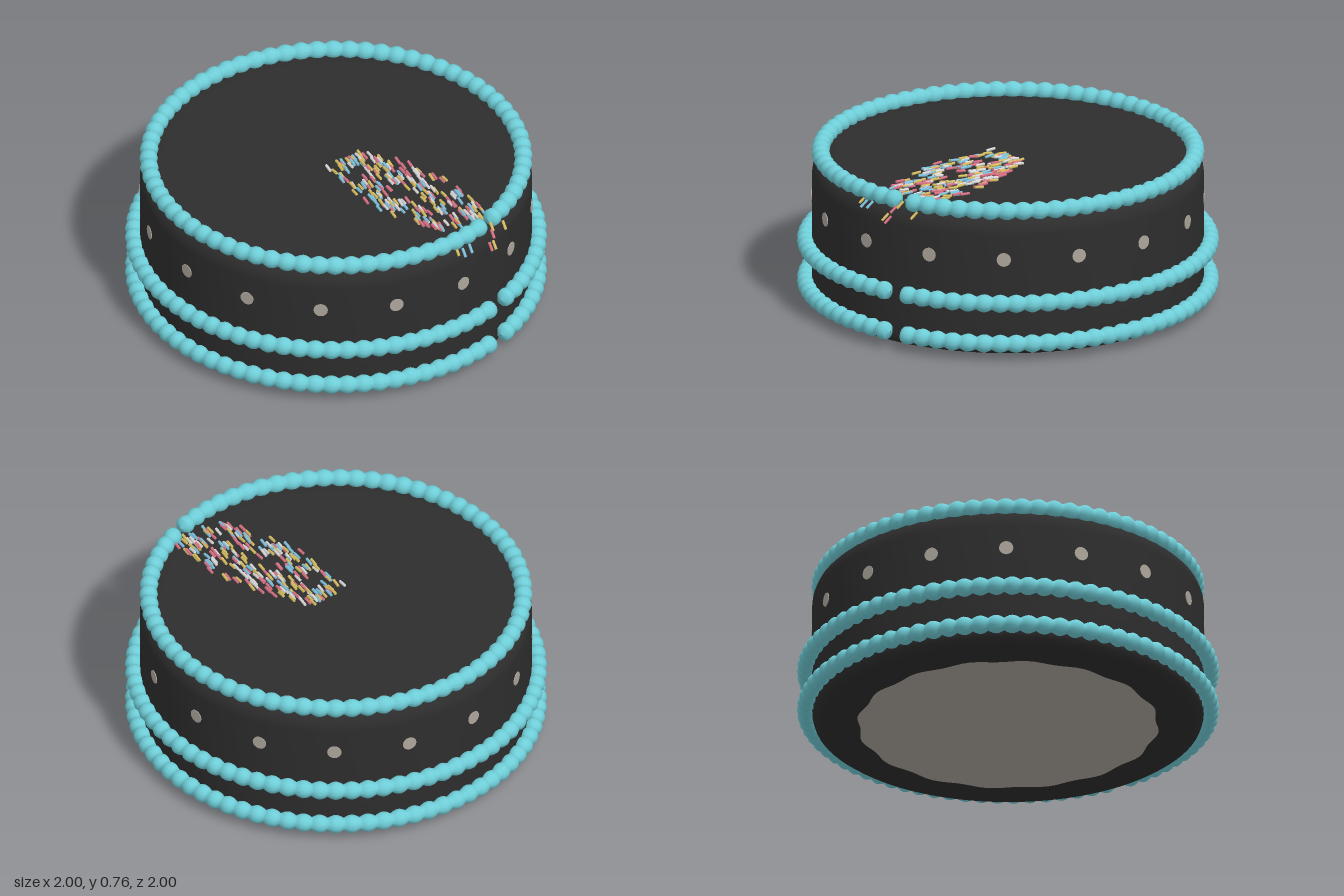
import * as THREE from 'three';
import { mergeGeometries, mergeVertices } from 'three/addons/utils/BufferGeometryUtils.js';

const mat = (name, color) => {
  const m = new THREE.MeshStandardMaterial({ color });
  m.name = name;
  return m;
};

function part(name, geometry, material) {
  const m = new THREE.Mesh(geometry, material);
  m.name = name;
  return m;
}

// Small seeded random number generator
function seeded(seed) {
  return () => {
    seed = (seed * 16807) % 2147483647;
    return seed / 2147483647;
  };
}

// Ring of piped beads with a small opening at the given angle from the front
const GAP_ANGLE = THREE.MathUtils.degToRad(27);
function beadRing(radius, bead, count, gap) {
  const arc = Math.PI * 2 - gap / radius;
  const g = new THREE.TorusGeometry(radius, bead, 12, count * 6, arc);
  const p = g.attributes.position;
  for (let i = 0; i < p.count; i++) {
    const x = p.getX(i), y = p.getY(i), d = Math.hypot(x, y);
    const step = i % (count * 6 + 1);
    const end = step === 0 || step === count * 6;
    const s = end ? 0.05 : 0.68 + 0.32 * Math.abs(Math.sin((step / 6) * Math.PI));
    const r = (radius + (d - radius) * s) / d;
    p.setXYZ(i, x * r, y * r, p.getZ(i) * s);
  }
  g.deleteAttribute('uv');
  g.deleteAttribute('normal');
  const smooth = mergeVertices(g, 1e-5);
  smooth.computeVertexNormals();
  smooth.rotateX(-Math.PI / 2);
  smooth.rotateY(GAP_ANGLE - Math.PI / 2 + gap / radius / 2);
  return smooth;
}

export function createModel() {
  const cake = new THREE.Group();
  cake.name = 'cake';
  const icing = mat('dark icing', 0x2d2d2d);
  const blue = mat('turquoise piping', 0x6fced8);
  const stone = mat('warm grey', 0xaca59b);
  const sprinkleMats = [
    mat('pink sprinkle', 0xdb7286), mat('yellow sprinkle', 0xd8bf62),
    mat('pale blue sprinkle', 0x7fc4e0), mat('white sprinkle', 0xdcdcdc),
  ];

  // Cake body: rounded top and bottom edges
  const profile = [[0, 0.004], [0.86, 0.004], [0.893, 0.012], [0.918, 0.03], [0.927, 0.06],
    [0.927, 0.2], [0.927, 0.4], [0.927, 0.61], [0.923, 0.64], [0.91, 0.67], [0.89, 0.69],
    [0.86, 0.7], [0.8, 0.7], [0, 0.7]];
  cake.add(part('body', new THREE.LatheGeometry(profile.map(([x, y]) => new THREE.Vector2(x, y)), 96), icing));

  // Base board with a softly wavy edge
  const wavy = [];
  for (let i = 0; i < 128; i++) {
    const a = (i / 128) * Math.PI * 2, r = 0.708 + 0.009 * Math.cos(a * 16);
    wavy.push(new THREE.Vector2(Math.cos(a) * r, Math.sin(a) * r));
  }
  const board = new THREE.ShapeGeometry(new THREE.Shape(wavy));
  board.rotateX(Math.PI / 2);
  cake.add(part('baseBoard', board, stone));

  // Piped bead rings
  [['lowerPiping', 0.955, 0.08, 78, 0.06], ['middlePiping', 0.955, 0.28, 78, 0.06],
    ['topPiping', 0.886, 0.72, 72, 0.035]].forEach(([name, r, y, n, gap]) => {
    const ring = part(name, beadRing(r, 0.044, n, gap), blue);
    ring.position.y = y;
    cake.add(ring);
  });

  // Sixteen flat dots around the side
  const dots = new THREE.Group();
  dots.name = 'sideDots';
  const dotGeometry = new THREE.CylinderGeometry(0.034, 0.034, 0.006, 16).rotateX(Math.PI / 2);
  for (let i = 0; i < 16; i++) {
    const a = THREE.MathUtils.degToRad(-8 + i * 22.5);
    const dot = part('sideDot', dotGeometry, stone);
    dot.position.set(Math.sin(a) * 0.927, 0.49, Math.cos(a) * 0.927);
    dot.rotation.y = a;
    dots.add(dot);
  }
  cake.add(dots);

  // Sprinkles spread in a slanted patch towards the opening
  const random = seeded(4217);
  const piles = sprinkleMats.map(() => []);
  const addSprinkle = (i, x, y, z, tilt) => {
    const g = new THREE.CylinderGeometry(0.007, 0.007, 0.046, 6);
    g.rotateX(Math.PI / 2 + tilt);
    g.translate(x, y, z);
    piles[i].push(g);
  };
  for (let i = 0; i < 230; i++) {
    const t = random();
    const half = 0.19 * Math.pow(Math.sin(Math.PI * (0.12 + 0.74 * t)), 0.6);
    const x = 0.02 + 0.33 * t + (random() * 2 - 1) * half;
    const z = 0.02 + 0.73 * t + (x - 0.02 - 0.33 * t) * -0.25;
    addSprinkle([0, 0, 0, 1, 1, 1, 2, 2, 3, 3][Math.floor(random() * 10)],
      x, 0.704 + random() * 0.012, z, (random() - 0.5) * 0.3);
  }
  // A few sprinkles tumbling over the edge
  [[0, 0.39, 0.635, 0.85], [1, 0.4, 0.655, 0.87], [0, 0.41, 0.69, 0.83], [1, 0.42, 0.71, 0.8],
    [2, 0.23, 0.675, 0.89], [1, 0.2, 0.685, 0.88], [2, 0.27, 0.68, 0.88], [1, 0.5, 0.675, 0.77],
  ].forEach(([i, x, y, z]) => addSprinkle(i, x, y, z + 0.02, 0.7));
  const sprinkles = new THREE.Group();
  sprinkles.name = 'sprinkles';
  piles.forEach((pile, i) =>
    sprinkles.add(part(sprinkleMats[i].name + 's', mergeGeometries(pile), sprinkleMats[i])));
  cake.add(sprinkles);

  return cake;
}
